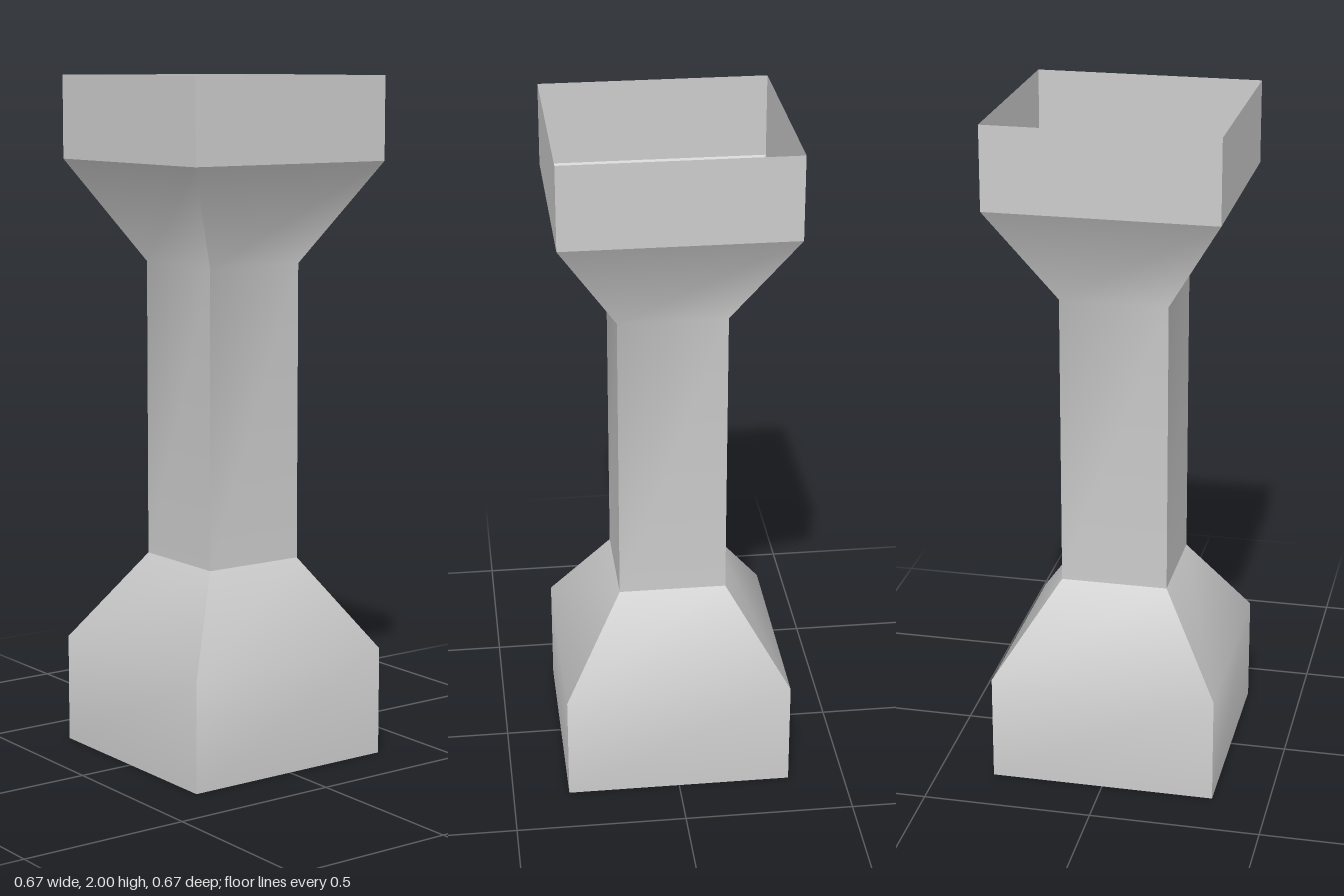
import * as THREE from 'three';

const WIDE = 0.333, NARROW = 0.158; // half widths

// Bands of [half width, height], top to bottom; smooth within a band, sharp between bands
const BANDS = {
  topCollar: [[WIDE, 2], [WIDE, 1.757]],
  shaft: [[WIDE, 1.757], [NARROW, 1.46], [NARROW, 0.587]],
  base: [[WIDE, 0], [WIDE, 0.32], [NARROW, 0.587]].reverse(),
};

// One wall of a square tube, facing +z
function wallGeometry(profile) {
  const positions = [], index = [];
  profile.forEach(([w, y], i) => {
    positions.push(-w, y, w, w, y, w);
    const a = i * 2;
    if (i < profile.length - 1) index.push(a, a + 2, a + 1, a + 1, a + 2, a + 3);
  });
  const geometry = new THREE.BufferGeometry();
  geometry.setAttribute('position', new THREE.Float32BufferAttribute(positions, 3));
  geometry.setIndex(index);
  geometry.computeVertexNormals();
  return geometry;
}

export function createModel() {
  const model = new THREE.Group();
  model.name = 'squarePillar';
  // Thin open shell, seen from inside and outside
  const material = new THREE.MeshStandardMaterial({ color: 0xcccccc, side: THREE.DoubleSide });

  for (const [name, profile] of Object.entries(BANDS)) {
    const part = new THREE.Group();
    part.name = name;
    const geometry = wallGeometry(profile);
    ['Front', 'Left', 'Back', 'Right'].forEach((side, i) => {
      const wall = new THREE.Mesh(geometry, material);
      wall.name = name + side + 'Wall';
      wall.rotation.y = i * Math.PI / 2;
      part.add(wall);
    });
    model.add(part);
  }
  return model;
}
